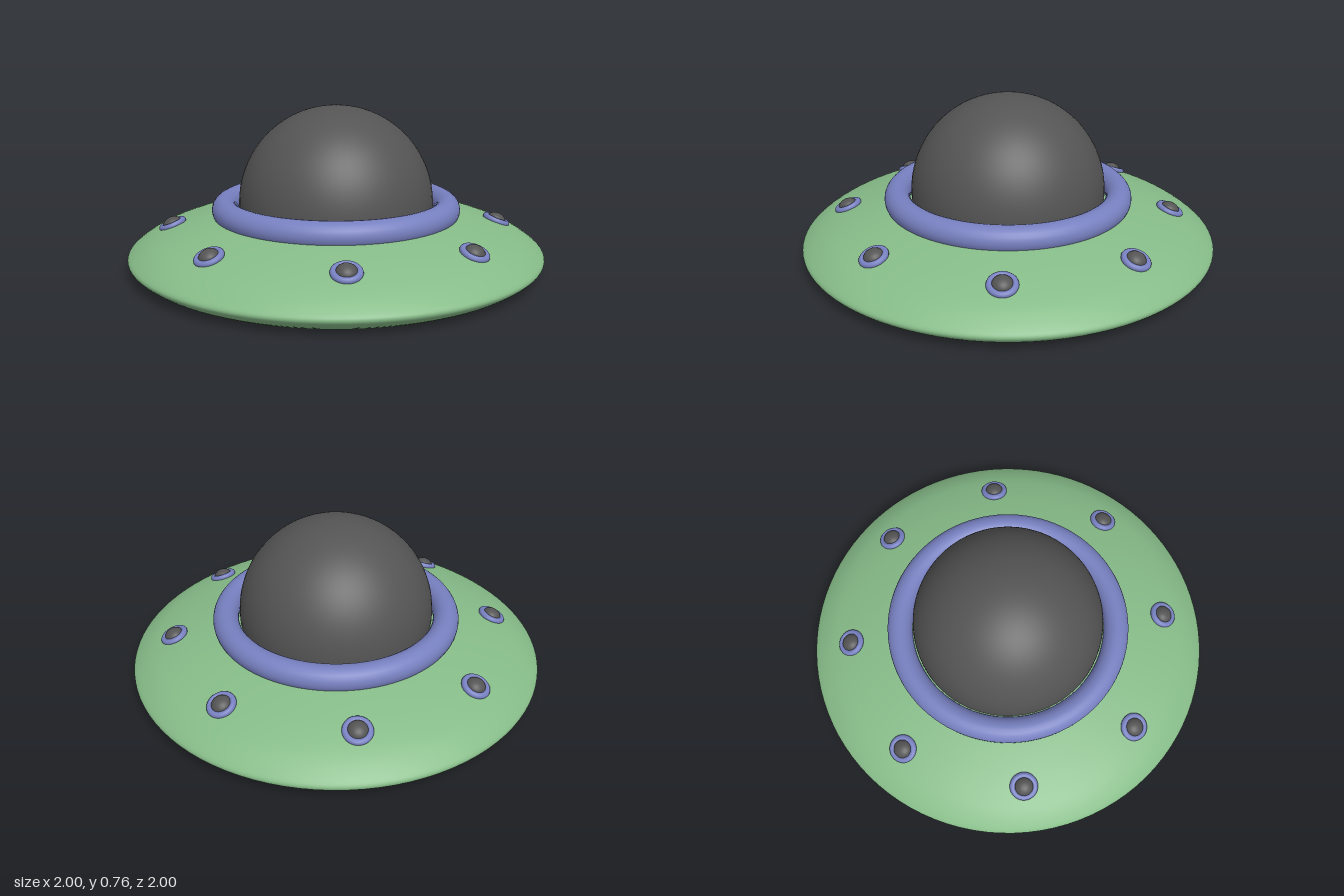
import * as THREE from 'three';

const mat = (color) => new THREE.MeshStandardMaterial({ color });

export function createModel() {
  const model = new THREE.Group();
  const green = mat(0x86bb88), blue = mat(0x7780c0), dark = mat(0x545454);

  const add = (name, geometry, material, parent = model) => {
    const mesh = new THREE.Mesh(geometry, material);
    mesh.name = name;
    parent.add(mesh);
    return mesh;
  };

  // Saucer hull: smooth curve from the flat underside, round the rim, up to the collar
  const profile = new THREE.SplineCurve([
    [0.91, 0.002], [0.965, 0.032], [0.998, 0.066], [0.975, 0.098], [0.9, 0.147],
    [0.8, 0.187], [0.7, 0.217], [0.58, 0.246], [0.44, 0.268],
  ].map(([x, y]) => new THREE.Vector2(x, y)));
  add('hull', new THREE.LatheGeometry(profile.getPoints(40), 96), green);

  // Flat underside with a dark hatch in its middle
  const underside = add('underside', new THREE.CircleGeometry(0.91, 96), green);
  underside.rotation.x = Math.PI / 2;
  underside.position.y = 0.002;
  const hatch = add('bottomHatch', new THREE.CircleGeometry(0.383, 64), dark);
  hatch.rotation.x = Math.PI / 2;

  // Collar ring and the dome it holds
  const collar = add('collarRing', new THREE.TorusGeometry(0.538, 0.062, 24, 96), blue);
  collar.rotation.x = Math.PI / 2;
  collar.position.y = 0.272;
  const dome = add('dome', new THREE.SphereGeometry(0.47, 64, 32, 0, Math.PI * 2, 0, Math.PI * 0.53), dark);
  dome.position.y = 0.295;

  // Eight lights around the hull, tilted to its slope
  for (let i = 0; i < 8; i++) {
    const spoke = new THREE.Group();
    spoke.name = `light${i + 1}`;
    spoke.rotation.y = (i * Math.PI) / 4;
    const light = new THREE.Group();
    light.position.set(0.795, 0.193, 0);
    light.rotation.z = -0.36;
    const rim = add('lightRim', new THREE.TorusGeometry(0.053, 0.015, 12, 32), blue, light);
    rim.rotation.x = Math.PI / 2;
    const bulb = add('lightBulb', new THREE.SphereGeometry(0.046, 24, 16), dark, light);
    bulb.scale.y = 0.75;
    spoke.add(light);
    model.add(spoke);
  }
  return model;
}
